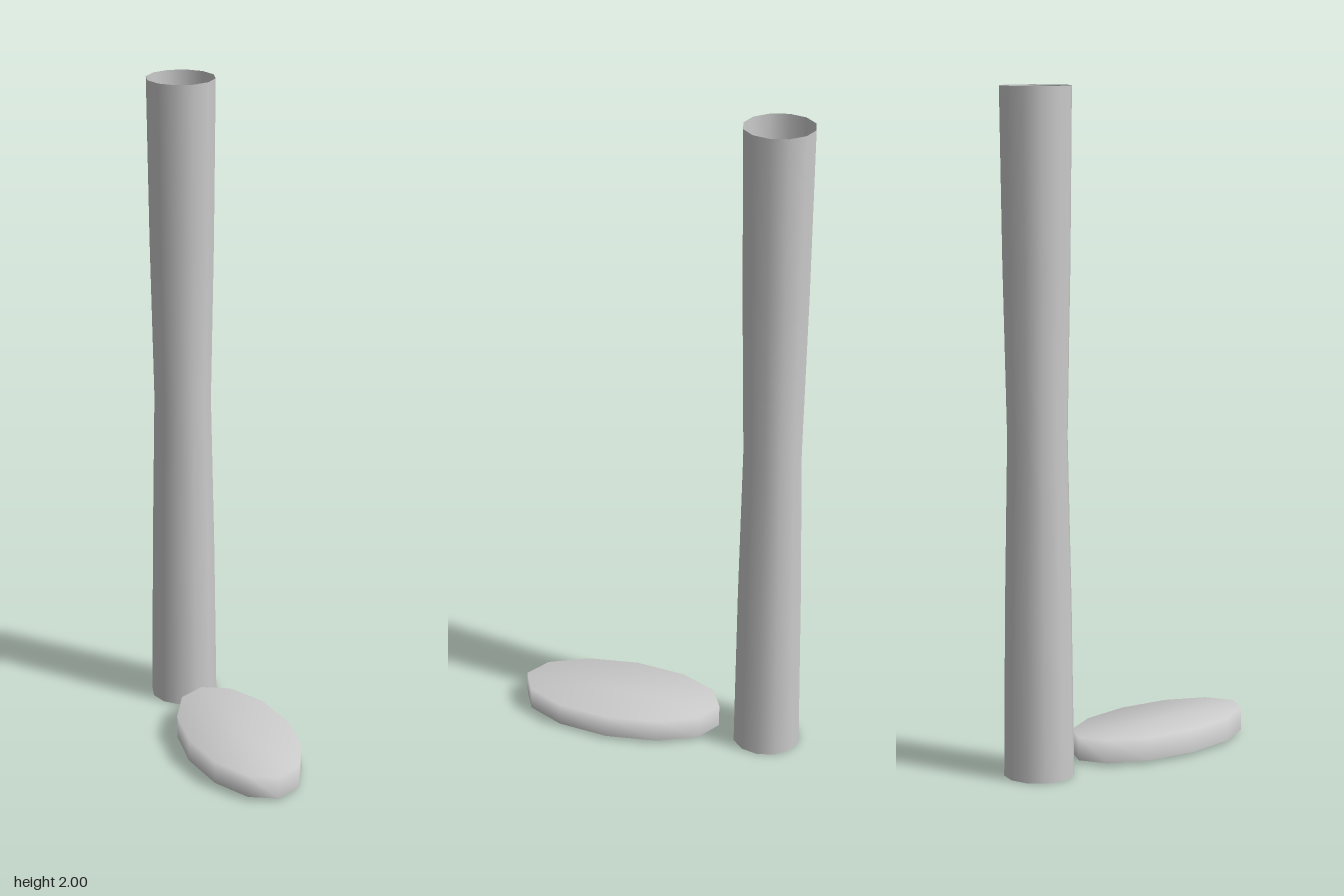
import * as THREE from 'three';

const SIDES = 12;

export function createModel() {
  const group = new THREE.Group();
  const material = new THREE.MeshStandardMaterial({ color: 0xcccccc, side: THREE.DoubleSide });

  // Turns a [radius, height] profile around the y axis
  const addTurned = (name, profile, z, scaleX = 1, scaleZ = 1) => {
    const points = profile.map(([r, y]) => new THREE.Vector2(r, y));
    const geometry = new THREE.LatheGeometry(points, SIDES);
    geometry.scale(scaleX, 1, scaleZ);
    const mesh = new THREE.Mesh(geometry, material);
    mesh.name = name;
    mesh.position.z = z;
    group.add(mesh);
  };

  // Tall open tube, slightly waisted at mid height
  addTurned('tube', [[0.104, 0], [0.098, 0.5], [0.088, 1], [0.098, 1.5], [0.104, 2]], -0.342);

  // Low oval pad: softly shaded wall and top, open underneath
  addTurned('ovalPad', [[1, 0.01], [1, 0.08], [0, 0.08]], 0.127, 0.163, 0.317);

  return group;
}
